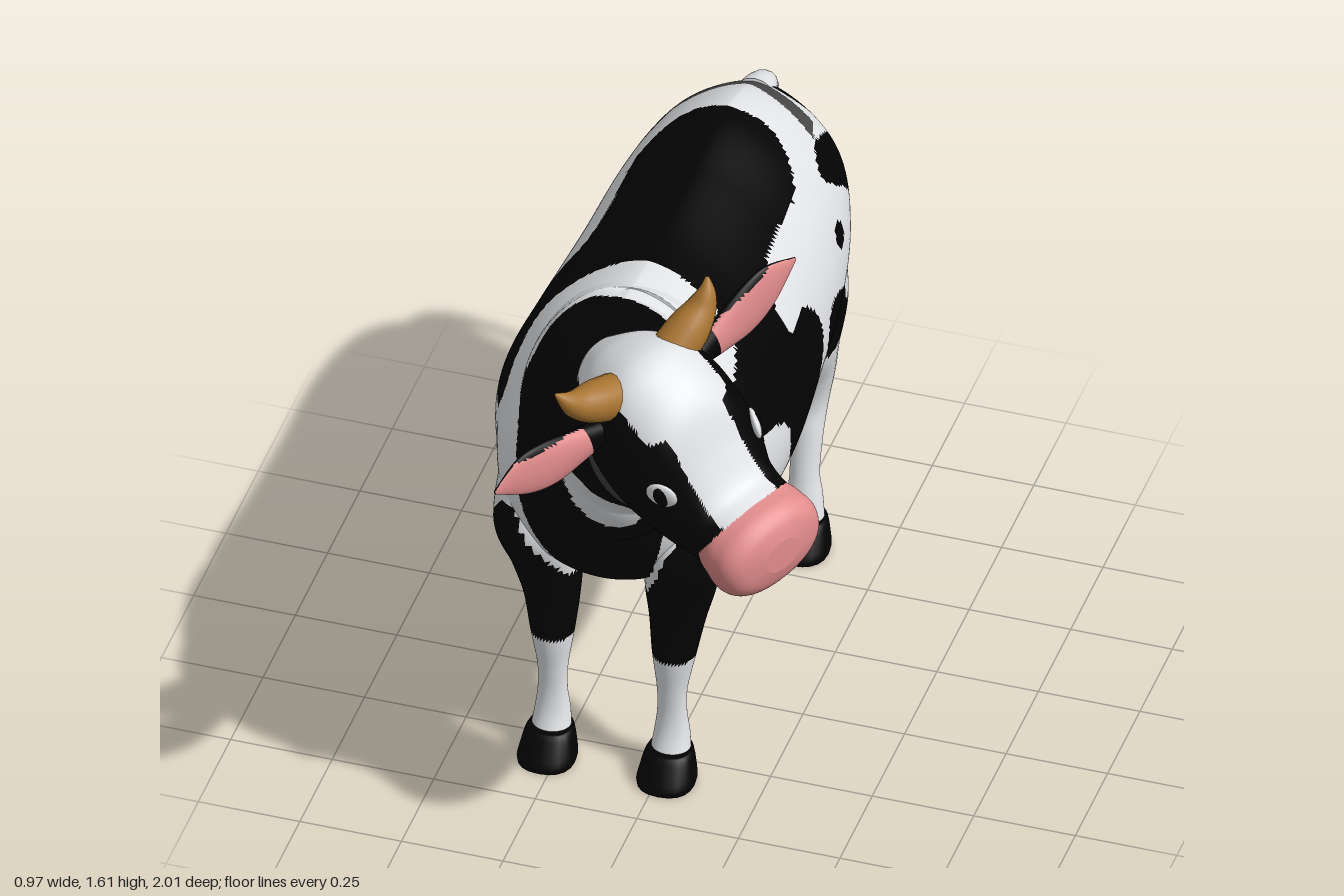
import * as THREE from 'three';

const mat = (name, color) => Object.assign(new THREE.MeshStandardMaterial({ color }), { name });
const white = mat('white coat', 0xe6e8eb), black = mat('black coat', 0x030303);
const pink = mat('pink skin', 0xe28c8c), grey = mat('dark grey hair', 0x484848);
const hornBrown = mat('horn brown', 0xa87430), darkPink = mat('dark pink', 0xb86a6b);
const COATS = [white, black, pink, grey];
const W = 0, B = 1, P = 2, G = 3;
const CX = -0.125; // body mid-plane
const V = (x, y, z) => new THREE.Vector3(x, y, z);

// Catmull-Rom interpolation of table rows at u in 0..1
function rowAt(rows, u) {
  const s = u * (rows.length - 1), i = Math.min(Math.floor(s), rows.length - 2), t = s - i;
  const r = (k) => rows[Math.max(0, Math.min(rows.length - 1, k))];
  return rows[0].map((_, c) => {
    const [a, b, d, e] = [r(i - 1)[c], r(i)[c], r(i + 1)[c], r(i + 2)[c]];
    return b + 0.5 * t * (d - a + t * (2 * a - 5 * b + 4 * d - e + t * (3 * (b - d) + e - a)));
  });
}

// Closed skin through rows of [x, y, z, side radius, up radius, down radius]
function loft(name, rows, { axis, up = V(0, 1, 0), n = 40, m = 32, power = 1, topPower = power, paint, material }) {
  const pos = [], tris = [[], [], [], []], rings = [];
  for (let i = 0; i <= n; i++) rings.push(rowAt(rows, i / n));
  const centre = (k) => V(...rings[Math.max(0, Math.min(n, k))].slice(0, 3));
  const bend = (v, e) => Math.sign(v) * Math.abs(v) ** e;
  rings.forEach((r, i) => {
    const t = axis ? axis.clone() : centre(i + 1).sub(centre(i - 1)).normalize();
    const side = up.clone().cross(t).normalize(), top = t.clone().cross(side);
    for (let j = 0; j < m; j++) {
      const a = (j / m) * Math.PI * 2, s = Math.sin(a);
      const ru = s > 0 ? r[4] : (r[5] ?? r[4]);
      const p = centre(i).addScaledVector(side, bend(Math.cos(a), s > 0 ? topPower : power) * Math.max(r[3], 0.002))
        .addScaledVector(top, bend(s, power) * Math.max(ru, 0.002));
      pos.push(p.x, p.y, p.z);
    }
  });
  pos.push(...centre(0).toArray(), ...centre(n).toArray());
  const at = (k) => V(pos[3 * k], pos[3 * k + 1], pos[3 * k + 2]);
  let volume = 0;
  const tri = (a, b, c) => {
    const pa = at(a), pb = at(b), pc = at(c);
    volume += pa.clone().cross(pb).dot(pc);
    const mid = pa.add(pb).add(pc).divideScalar(3);
    tris[paint ? paint(mid) : 0].push([a, b, c]);
  };
  for (let j = 0; j < m; j++) {
    const k = (j + 1) % m, e = n * m;
    for (let i = 0; i < n; i++) {
      const o = i * m;
      tri(o + j, o + k, o + m + k);
      tri(o + j, o + m + k, o + m + j);
    }
    tri((n + 1) * m, k, j);
    tri((n + 1) * m + 1, e + j, e + k);
  }
  const geo = new THREE.BufferGeometry(), index = [];
  tris.forEach((list, c) => {
    if (paint && list.length) geo.addGroup(index.length, list.length * 3, c);
    for (const [a, b, d] of list) volume < 0 ? index.push(a, d, b) : index.push(a, b, d);
  });
  geo.setAttribute('position', new THREE.Float32BufferAttribute(pos, 3));
  geo.setIndex(index);
  geo.computeVertexNormals();
  const mesh = new THREE.Mesh(geo, paint ? COATS : material);
  mesh.name = name;
  return mesh;
}

// Rounded patch outline, returned as an inside test
function patch(points) {
  const curve = new THREE.CatmullRomCurve3(points.map(([a, b]) => V(a, b, 0)), true);
  const pts = curve.getPoints(points.length * 4);
  return (x, y) => {
    let inside = false;
    for (let i = 0, j = pts.length - 1; i < pts.length; j = i++) {
      const p = pts[i], q = pts[j];
      if (p.y > y !== q.y > y && x < ((q.x - p.x) * (y - p.y)) / (q.y - p.y) + p.x) inside = !inside;
    }
    return inside;
  };
}
const spot = (a, b, ra, rb = ra) => (x, y) => Math.hypot((x - a) / ra, (y - b) / rb) < 1;

// Coat patches in side outline (z, y), the same on both flanks
const flank = [
  patch([[.25, .99], [.18, 1.08], [.07, 1.14], [.02, 1.24], [-.02, 1.4], [-.5, 1.4], [-.61, 1.24], [-.52, 1.16],
    [-.46, 1.14], [-.3, 1.14], [-.17, 1.11], [-.14, 1.01], [-.26, 1.0], [-.33, .9], [-.28, .77], [-.13, .7],
    [0, .76], [.02, .86], [.1, .92], [.22, .92]]),
  patch([[-.38, .8], [-.42, .88], [-.53, .86], [-.64, .75], [-.65, .64], [-.58, .6], [-.48, .65], [-.42, .72]]),
  spot(-.58, .975, .033), spot(.27, .74, .035), spot(.13, .69, .014),
];
const hip = patch([[-.62, 1.1], [-.72, 1.14], [-.84, 1.1], [-.88, .98], [-.83, .86], [-.75, .84], [-.74, .98]]);
const shoulder = patch([[.52, .95], [.43, .87], [.38, .74], [.3, .68], [.2, .62], [.19, .5], [.3, .34], [.52, .4]]);
// Rump patches (distance from mid-plane, y)
const rump = [spot(0, 1.07, .15, .115), spot(.12, .83, .055, .06)];
const rumpGrey = spot(.03, .73, .07, .035);
// Chest patches in front outline (x, y)
const bib = patch([[-.3, 1.35], [-.31, .9], [-.25, .7], [-.17, .57], [-.115, .54], [-.05, .58], [0, .65], [.05, .82],
  [.08, 1.0], [-.05, 1.3]]);
const throat = patch([[-.16, 1.11], [-.15, 1.02], [-.1, .93], [-.03, .9], [.03, .94], [.05, 1.05], [-.05, 1.05], [-.11, 1.09]]);

function coat(p) {
  const off = Math.abs(p.x - CX);
  if (p.z > 0.33) {
    if (throat(p.x, p.y)) return W;
    if (bib(p.x, p.y)) return B;
  }
  if (p.z > 0.2 && p.y > 1.25 - 0.75 * (p.z - 0.25)) return B;
  if (p.y < 0.79 && off > 0.1 + 0.42 * Math.max(0, p.y - 0.55) && shoulder(p.z, p.y)) return B;
  if (flank.some((f) => f(p.z, p.y)) || (off > 0.18 && hip(p.z, p.y))) return B;
  if (p.z < -0.7 && rump.some((f) => f(off, p.y))) return B;
  if (p.z < -0.6 && p.y > 1.14 && Math.abs(p.z + 0.79 - off * 0.3) < 0.03) return G;
  return p.z < -0.68 && rumpGrey(off, p.y) ? G : W;
}

function buildHead() {
  const head = new THREE.Group();
  head.name = 'head';
  // Turned to the left and slightly rolled
  const side = V(.518, .249, -.819).normalize();
  const front = V(.845, 0, .535).normalize();
  head.matrix.makeBasis(side, front.clone().cross(side).normalize(), front).setPosition(.07, 1.33, .6);
  head.matrix.decompose(head.position, head.quaternion, head.scale);
  // z, top, bottom, half width
  const rows = [[-.18, .08, -.2, .09], [-.09, .14, -.28, .155], [.02, .172, -.32, .178], [.1, .14, -.34, .176],
    [.17, .075, -.355, .162], [.22, -.04, -.365, .138], [.265, -.12, -.38, .14], [.31, -.145, -.388, .15],
    [.355, -.155, -.372, .145], [.385, -.18, -.34, .115], [.4, -.22, -.3, .05]]
    .map(([z, t, b, w]) => [0, (t + b) / 2, z, w, (t - b) / 2]);
  head.add(loft('skull and muzzle', rows, {
    axis: V(0, 0, 1), n: 110, m: 96, power: .9,
    paint: (p) => {
      if (p.z > .262 + .7 * Math.max(0, p.y + .23)) return P;
      const blaze = p.y > .05 ? .125 : .085;
      return Math.abs(p.x) < blaze && p.y > (p.z < 0 ? .02 : -.2) ? W : B;
    },
  }));
  const bead = (name, material, at, size, turn) => {
    const m = new THREE.Mesh(new THREE.SphereGeometry(1, 20, 14), material);
    m.name = name;
    m.position.set(...at);
    m.scale.set(...size);
    m.rotation.y = turn;
    head.add(m);
  };
  for (const s of [-1, 1]) {
    const ear = [[.14, .03, 0, .025, .028], [.22, .04, 0, .026, .05], [.31, .055, 0, .022, .07],
      [.39, .075, 0, .016, .06], [.475, .09, 0, .003, .006]].map(([x, ...r]) => [s * x, ...r]);
    head.add(loft('ear', ear, {
      axis: V(s, 0, 0), n: 30, m: 28,
      paint: (p) => {
        const x = Math.abs(p.x), rise = p.y - .04 - .2 * (x - .22);
        if (p.z > .002) return x > .2 && rise < .055 ? P : B;
        return x > .23 && x < .38 && Math.abs(rise) < .03 ? P : B;
      },
    }));
    const horn = [[.09, .1, 0, .056], [.15, .13, 0, .052], [.195, .16, 0, .038], [.222, .195, 0, .022],
      [.24, .225, -.01, .004]].map(([x, y, z, r]) => [s * x, y, z, r, r]);
    head.add(loft('horn', horn, { up: V(0, 0, 1), n: 16, m: 16, material: hornBrown }));
    bead('eye', white, [s * .147, -.075, .182], [.012, .037, .04], -s * .45);
    bead('pupil', black, [s * .151, -.075, .184], [.012, .031, .021], -s * .45);
    bead('nostril', darkPink, [s * .078, -.215, .372], [.024, .02, .012], s * .5);
  }
  return head;
}

export function createModel() {
  const cow = new THREE.Group();
  cow.name = 'cow';

  // Barrel: z, top, bottom, half width
  const barrel = [[-.89, 1.12, 1.03, .05], [-.86, 1.16, .94, .13], [-.8, 1.2, .82, .22], [-.7, 1.25, .65, .27],
    [-.55, 1.28, .54, .3], [-.35, 1.27, .5, .32], [-.1, 1.26, .49, .345], [.1, 1.28, .5, .345], [.25, 1.29, .53, .3],
    [.38, 1.21, .6, .25], [.46, 1.11, .7, .175], [.505, 1.0, .84, .07]]
    .map(([z, t, b, w]) => [CX, b + .43 * (t - b), z, w, .57 * (t - b), .43 * (t - b)]);
  cow.add(loft('body', barrel, { axis: V(0, 0, 1), n: 200, m: 164, topPower: 1.35, paint: coat }));

  // Neck bends towards the turned head
  cow.add(loft('neck', [[CX, .95, .1, .26, .29], [-.11, 1.03, .3, .235, .3], [-.04, 1.16, .45, .195, .24],
    [.06, 1.25, .6, .155, .2]], { n: 60, m: 80, paint: coat }));
  cow.add(buildHead());

  // Legs: y, z, offset, radius in x, radius in z
  const legs = {
    frontLeg: [[.85, .29, .18, .09, .12], [.7, .31, .185, .095, .13], [.55, .285, .165, .085, .08],
      [.45, .277, .155, .068, .062], [.35, .288, .15, .053, .05], [.25, .295, .147, .037, .031],
      [.18, .295, .147, .036, .028], [.12, .295, .147, .043, .037], [.06, .31, .147, .05, .045]],
    rearLeg: [[.95, -.62, .17, .09, .13], [.75, -.63, .175, .105, .125], [.6, -.63, .175, .085, .1],
      [.47, -.69, .172, .06, .075], [.38, -.7, .17, .045, .052], [.3, -.675, .17, .04, .036],
      [.2, -.652, .172, .036, .031], [.14, -.645, .175, .042, .038], [.06, -.63, .178, .05, .045]],
  };
  const frontPaint = (p) => {
    if (p.y < .35 + .15 * (.29 - p.z)) return W;
    return p.y < .55 ? B : coat(p);
  };
  const rearPaint = (p) => {
    const inner = p.z < -.66 && Math.abs(p.x - CX) < .165 && p.y > .46 && p.y < .62;
    return inner ? B : coat(p);
  };
  for (const [name, rows] of Object.entries(legs)) for (const s of [-1, 1]) {
    const down = { axis: V(0, -1, 0), up: V(0, 0, 1) };
    const isFront = name === 'frontLeg';
    cow.add(loft(name, rows.map(([y, z, o, rx, rz]) => [CX + s * o, y, z, rx, rz]),
      { ...down, n: 70, m: 40, paint: isFront ? frontPaint : rearPaint }));
    const [, z, o] = rows[rows.length - 1];
    cow.add(loft(isFront ? 'frontHoof' : 'rearHoof', [[.084, z, .052, .05], [.068, z + .008, .06, .056],
      [.02, z + .025, .07, .07], [.002, z + .028, .068, .069]]
      .map(([y, hz, rx, rz]) => [CX + s * o, y, hz, rx, rz]), { ...down, n: 12, m: 20, power: .85, material: black }));
  }

  // Udder
  const udder = new THREE.Mesh(new THREE.SphereGeometry(1, 28, 20), pink);
  udder.name = 'udder';
  udder.position.set(CX, .535, -.475);
  udder.scale.set(.125, .115, .15);
  udder.rotation.x = -.15;
  cow.add(udder);

  // Tail and tuft
  const along = { up: V(1, 0, 0), m: 16 };
  cow.add(loft('tail', [[1.15, -.8, .055], [1.13, -.885, .032], [1.0, -.935, .015], [.8, -.95, .012], [.5, -.96, .012]]
    .map(([y, z, r]) => [CX, y, z, r, r]), { ...along, n: 40, paint: (p) => (p.z > -.895 && p.y > 1.09 ? W : B) }));
  cow.add(loft('tail tuft', [[.53, -.96, .01], [.45, -.957, .034], [.37, -.962, .032], [.27, -.97, .003]]
    .map(([y, z, r]) => [CX, y, z, r, r]), { ...along, n: 24, paint: (p) => (p.y < .33 ? P : G) }));
  return cow;
}
